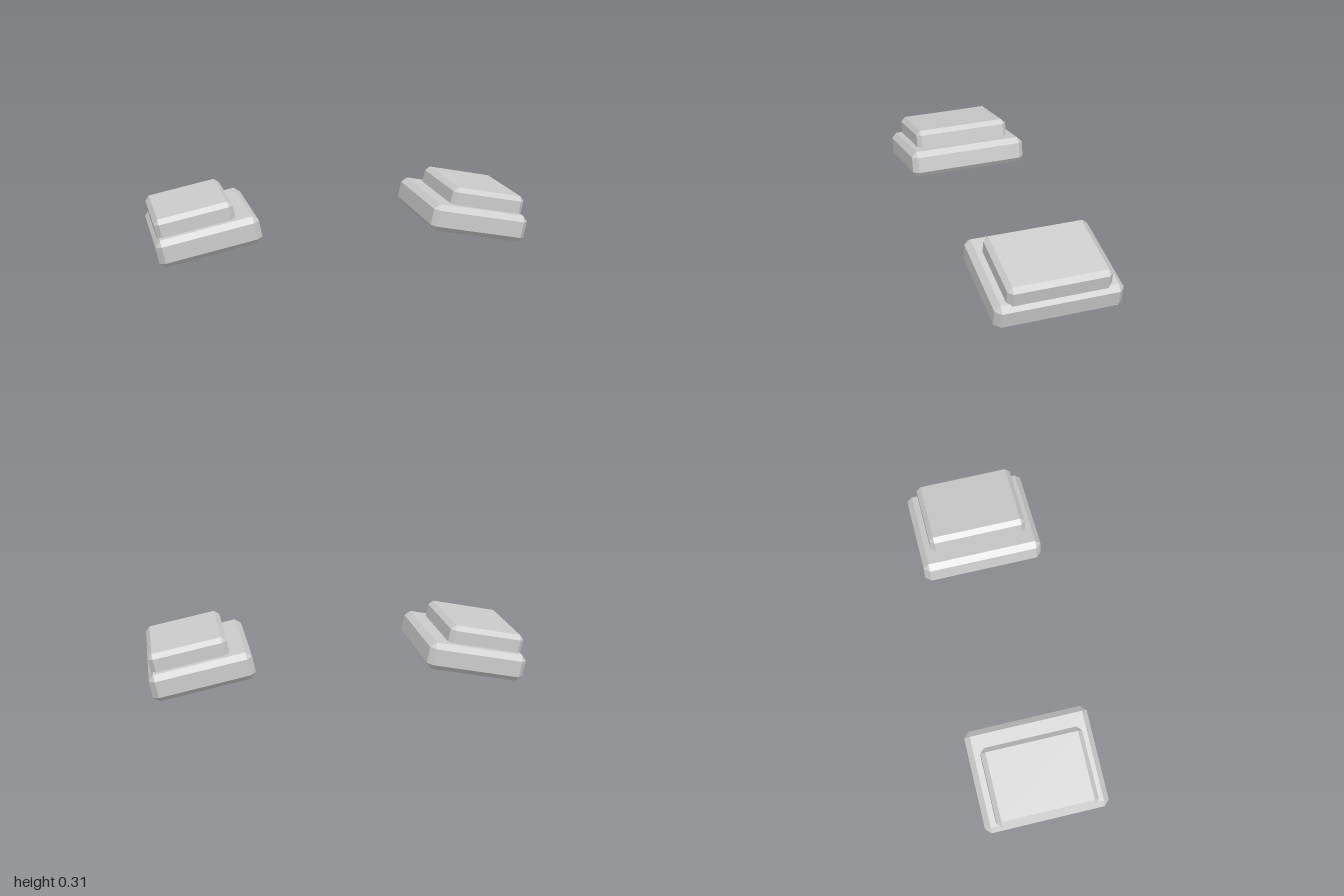
import * as THREE from 'three';
import { ConvexGeometry } from 'three/addons/geometries/ConvexGeometry.js';

const TILT = 0.2; // outward slope of each pad, radians

// Box with every edge cut at 45 degrees and triangular corners
function chamferedBox(w, h, d, c) {
  const points = [];
  for (const sx of [-1, 1]) for (const sy of [-1, 1]) for (const sz of [-1, 1]) {
    const x = w / 2, y = h / 2, z = d / 2;
    points.push(
      new THREE.Vector3(sx * x, sy * (y - c), sz * (z - c)),
      new THREE.Vector3(sx * (x - c), sy * y, sz * (z - c)),
      new THREE.Vector3(sx * (x - c), sy * (y - c), sz * z)
    );
  }
  return new ConvexGeometry(points);
}

export function createModel() {
  const model = new THREE.Group();
  model.name = 'shoulderPads';
  const material = new THREE.MeshStandardMaterial({ color: 0xcccccc, flatShading: true });

  // Broad lower plate and smaller plate stacked towards the outer edge
  const plates = [
    { name: 'LowerPlate', geometry: chamferedBox(0.541, 0.147, 0.666, 0.0295), x: 0.727, y: 0.12 },
    { name: 'UpperPlate', geometry: chamferedBox(0.413, 0.147, 0.542, 0.0245), x: 0.788, y: 0.203 },
  ];

  // Mirrored pair
  for (const [side, s] of [['left', 1], ['right', -1]]) {
    const pad = new THREE.Group();
    pad.name = side + 'ShoulderPad';
    for (const { name, geometry, x, y } of plates) {
      const plate = new THREE.Mesh(geometry, material);
      plate.name = side + name;
      plate.position.set(s * x, y, 0);
      plate.rotation.z = -s * TILT;
      pad.add(plate);
    }
    model.add(pad);
  }
  return model;
}
